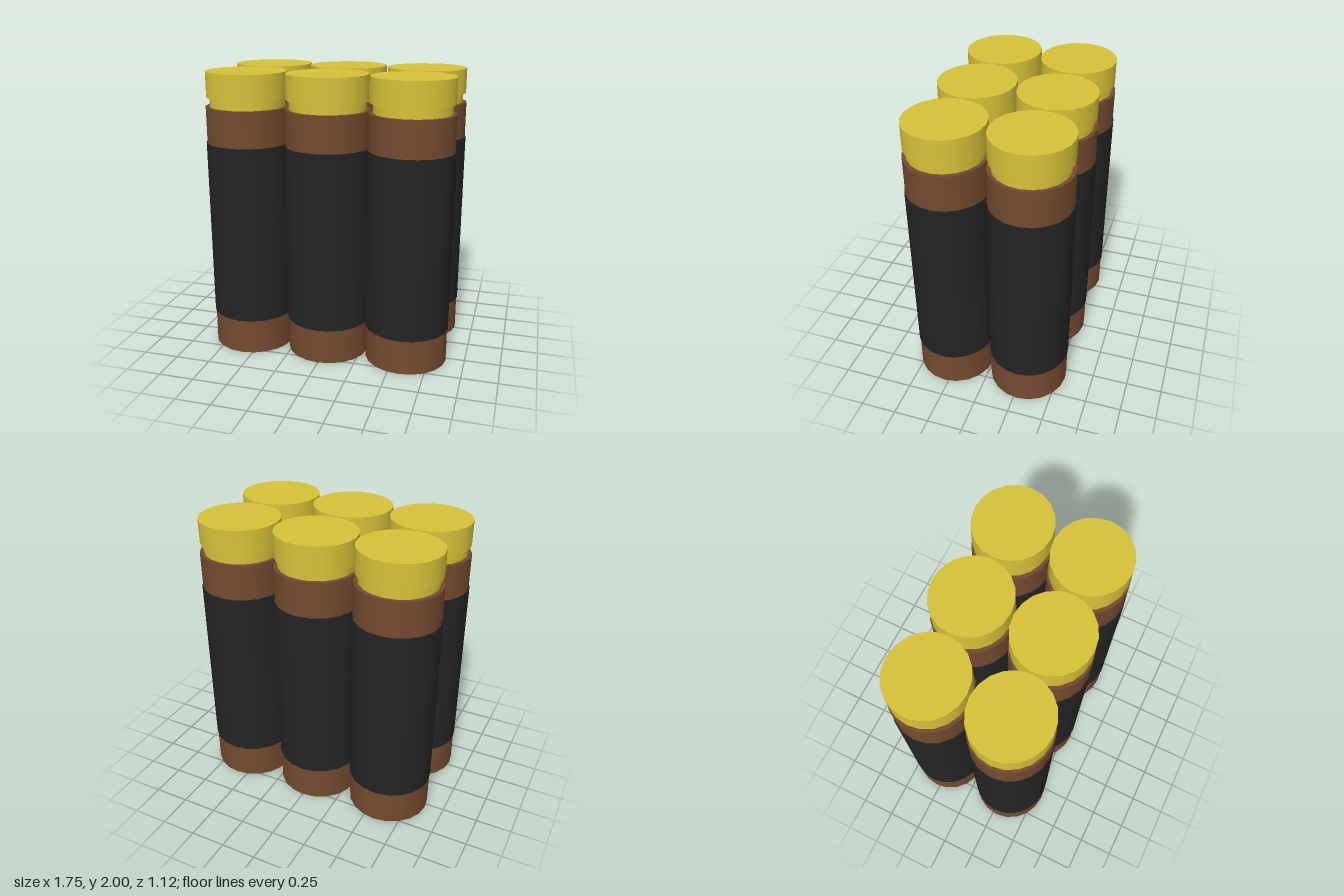
import * as THREE from 'three';

const SIDES = 20;
const DEPTH_RATIO = 0.957; // the tubes are slightly narrower front to back

export function createModel() {
  const model = new THREE.Group();
  model.name = 'cartridgeBundle';

  const brown = new THREE.MeshStandardMaterial({ color: 0x734a2f });
  brown.name = 'brown casing';
  const black = new THREE.MeshStandardMaterial({ color: 0x242424 });
  black.name = 'black wrap';
  const yellow = new THREE.MeshStandardMaterial({ color: 0xd6c238 });
  yellow.name = 'yellow cap';

  // name, radius, bottom, top, material
  const parts = [
    ['casing', 0.29, 0, 1.76, brown],
    ['wrap', 0.296, 0.25, 1.51, black],
    ['neck', 0.262, 1.75, 1.84, yellow],
    ['cap', 0.283, 1.825, 2, yellow],
  ].map(([name, radius, bottom, top, material]) => {
    const geometry = new THREE.CylinderGeometry(radius, radius, top - bottom, SIDES);
    geometry.scale(1, 1, DEPTH_RATIO);
    geometry.translate(0, (bottom + top) / 2, 0);
    return { name, geometry, material };
  });

  // Two rows of three identical cartridges
  for (const z of [-0.279, 0.279]) {
    for (const x of [-0.579, 0, 0.579]) {
      const cartridge = new THREE.Group();
      cartridge.name = 'cartridge';
      for (const { name, geometry, material } of parts) {
        const mesh = new THREE.Mesh(geometry, material);
        mesh.name = name;
        cartridge.add(mesh);
      }
      cartridge.position.set(x, 0, z);
      model.add(cartridge);
    }
  }
  return model;
}
